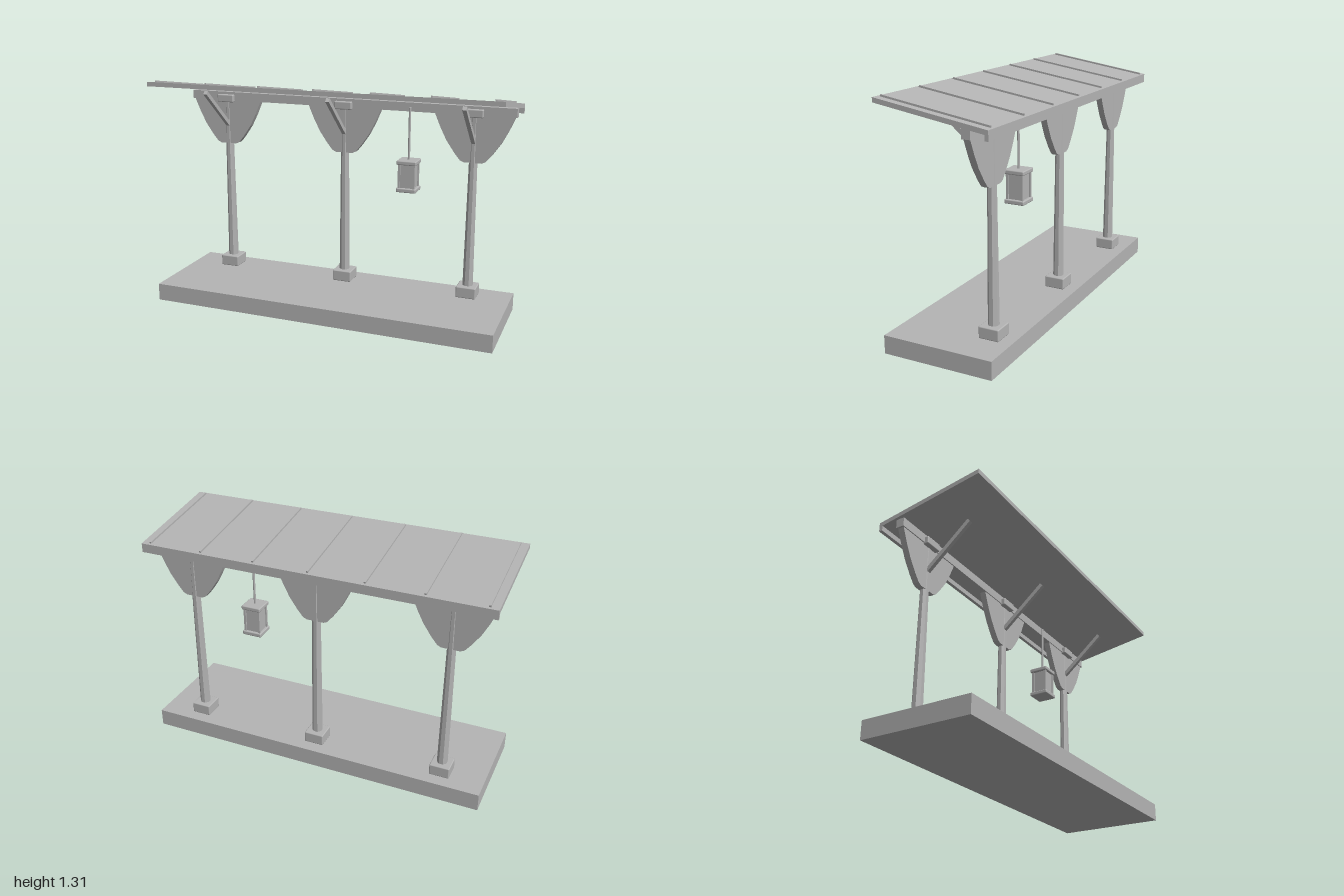
import * as THREE from 'three';
import { RoundedBoxGeometry } from 'three/addons/geometries/RoundedBoxGeometry.js';

export function createModel() {
  const model = new THREE.Group();
  model.name = 'shelter';
  const grey = new THREE.MeshStandardMaterial({ color: 0xb4b4b4 });
  grey.name = 'plain grey';

  const add = (parent, name, geometry, x, y, z) => {
    const mesh = new THREE.Mesh(geometry, grey);
    mesh.name = name;
    mesh.position.set(x, y, z);
    parent.add(mesh);
    return mesh;
  };
  const box = (parent, name, w, h, d, x, y, z) =>
    add(parent, name, new THREE.BoxGeometry(w, h, d), x, y, z);
  const softBox = (parent, name, w, h, d, x, y, z) =>
    add(parent, name, new RoundedBoxGeometry(w, h, d, 2, 0.006), x, y, z);

  const postZ = -0.185;

  // Platform and the long beam over the posts
  box(model, 'platform', 2, 0.1, 0.62, 0, 0.05, 0);
  box(model, 'beam', 1.97, 0.05, 0.048, 0, 1.175, postZ);

  // Curved bracket outline, mirrored about the post
  const half = [[0.05, 0.885], [0.072, 0.895], [0.105, 0.935], [0.15, 1.0],
    [0.186, 1.07], [0.212, 1.13], [0.222, 1.155]];
  const outline = [...half, ...half.map(([x, y]) => [-x, y]).reverse()];
  const bracketShape = new THREE.Shape(outline.map(([x, y]) => new THREE.Vector2(x, y)));
  const bracketGeo = new THREE.ExtrudeGeometry(bracketShape, { depth: 0.036, bevelEnabled: false });
  bracketGeo.translate(0, 0, -0.018);

  // Tapered eight-sided post with flats facing front and sides
  const postGeo = new THREE.CylinderGeometry(0.0215, 0.03, 0.99, 8).toNonIndexed();
  postGeo.rotateY(Math.PI / 8);
  postGeo.computeVertexNormals();

  // Posts with foot, bracket, cross block and roof strut
  for (const x of [-0.755, 0, 0.755]) {
    const bay = new THREE.Group();
    bay.name = 'postAssembly';
    bay.position.x = x;
    model.add(bay);
    softBox(bay, 'foot', 0.114, 0.065, 0.114, 0, 0.1325, postZ);
    add(bay, 'post', postGeo, 0, 0.66, postZ);
    add(bay, 'bracket', bracketGeo, 0, 0, postZ);
    softBox(bay, 'crossBlock', 0.104, 0.045, 0.094, 0, 1.163, postZ);
    const strut = box(bay, 'strut', 0.022, 0.024, 0.345, 0, 1.115, -0.04);
    strut.rotation.x = -Math.atan2(0.215, 0.25);
  }

  // Sloping roof slab with plumb-cut ends
  const frontTop = 1.306, backTop = 1.207, thick = 0.025;
  const roofShape = new THREE.Shape([
    [-0.31, frontTop - thick], [0.31, backTop - thick], [0.31, backTop], [-0.31, frontTop],
  ].map(([a, y]) => new THREE.Vector2(a, y)));
  const roofGeo = new THREE.ExtrudeGeometry(roofShape, { depth: 2, bevelEnabled: false });
  roofGeo.translate(0, 0, -1);
  roofGeo.rotateY(Math.PI / 2);
  add(model, 'roof', roofGeo, 0, 0, 0);
  box(model, 'rearFascia', 2, 0.05, 0.02, 0, 1.181, -0.3);

  // Standing seams on the roof
  const slope = Math.atan2(frontTop - backTop, 0.62);
  for (let i = -3; i <= 3; i++) {
    const seam = box(model, 'roofSeam', 0.01, 0.012, 0.6, i * 0.317, (frontTop + backTop) / 2 + 0.004, 0);
    seam.rotation.x = -slope;
  }

  // Hanging lantern
  const lantern = new THREE.Group();
  lantern.name = 'lantern';
  lantern.position.set(0.4, 0, -0.14);
  model.add(lantern);
  add(lantern, 'hangingRod', new THREE.CylinderGeometry(0.0065, 0.0065, 0.3, 10), 0, 1.027, 0);
  softBox(lantern, 'topCap', 0.114, 0.024, 0.114, 0, 0.87, 0);
  softBox(lantern, 'bottomCap', 0.114, 0.024, 0.114, 0, 0.712, 0);
  box(lantern, 'glass', 0.084, 0.14, 0.084, 0, 0.791, 0);
  for (const sx of [-1, 1]) for (const sz of [-1, 1]) {
    box(lantern, 'cornerBar', 0.013, 0.14, 0.013, sx * 0.0425, 0.791, sz * 0.0425);
  }
  return model;
}
